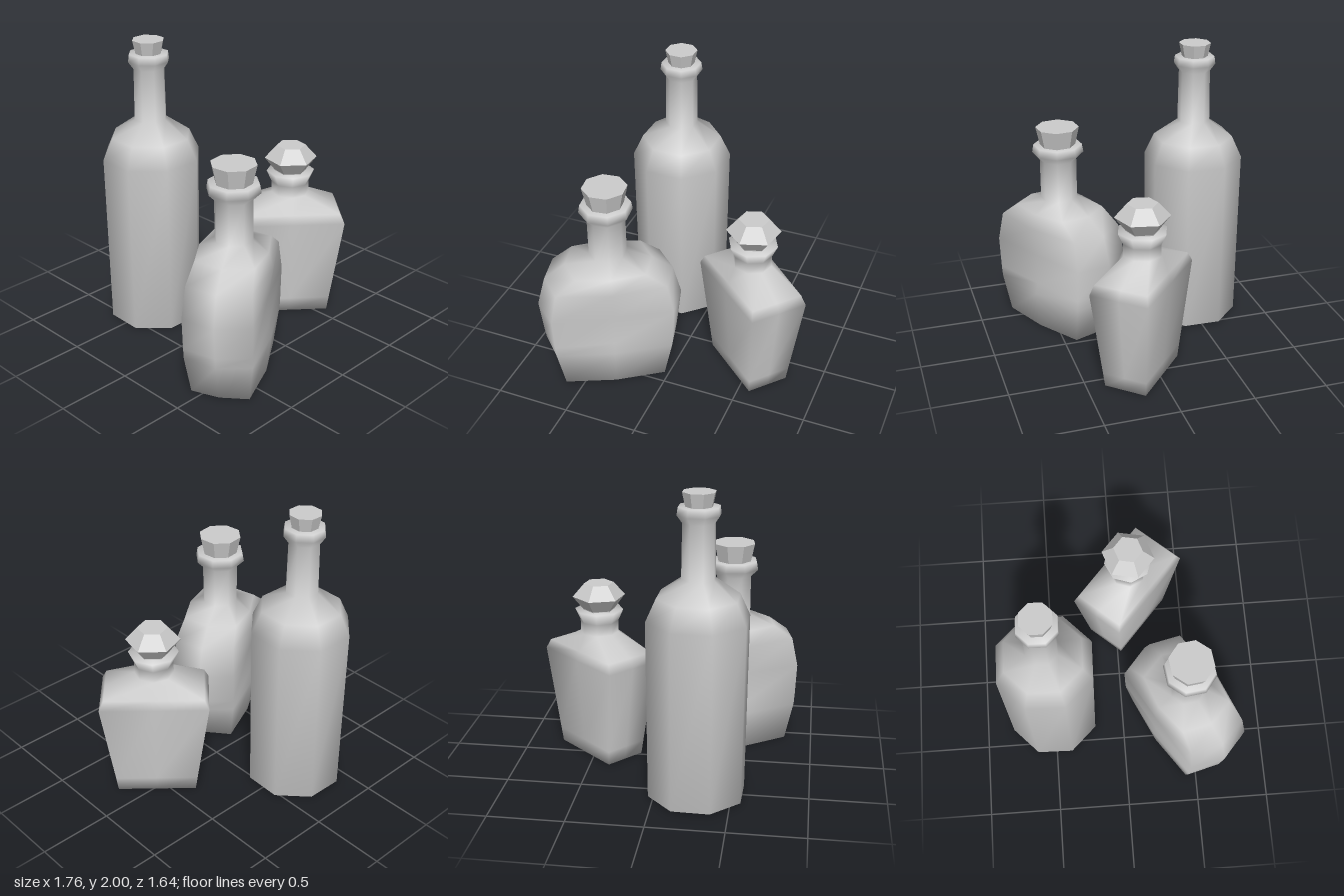
import * as THREE from 'three';

const grey = new THREE.MeshStandardMaterial({ color: 0xcccccc });
const greyFlat = new THREE.MeshStandardMaterial({ color: 0xcccccc, flatShading: true });

// Eight-sided sections as [y, end, cornerX, cornerZ, side]
const round = (y, r) => [y, r, r * Math.SQRT1_2, r * Math.SQRT1_2, r];
const rect = (y, a, b) => [y, a, a, b, b];

// Smooth closed skin through a stack of sections
function skin(sections) {
  const pos = [], index = [], n = 8;
  for (const [y, u, a, b, v] of sections) {
    const ring = [[u, 0], [a, b], [0, v], [-a, b], [-u, 0], [-a, -b], [0, -v], [a, -b]];
    for (const [x, z] of ring) pos.push(x, y, z);
  }
  const last = sections.length - 1;
  for (let i = 0; i < last; i++) {
    for (let j = 0; j < n; j++) {
      const k = (j + 1) % n;
      const a = i * n + j, b = i * n + k, c = a + n, d = b + n;
      index.push(a, c, b, b, c, d);
    }
  }
  // End caps share the ring vertices so the shading rolls over the rim
  const bottom = pos.length / 3, top = bottom + 1;
  pos.push(0, sections[0][0], 0, 0, sections[last][0], 0);
  for (let j = 0; j < n; j++) {
    const k = (j + 1) % n;
    index.push(bottom, j, k, top, last * n + k, last * n + j);
  }
  const g = new THREE.BufferGeometry();
  g.setAttribute('position', new THREE.Float32BufferAttribute(pos, 3));
  g.setIndex(index);
  g.computeVertexNormals();
  return g;
}

function add(parent, name, geometry, material) {
  const mesh = new THREE.Mesh(geometry, material);
  mesh.name = name;
  parent.add(mesh);
  return mesh;
}

// Bottle placed on the ground and turned about its own axis
function bottle(name, x, z, degrees, sections) {
  const g = new THREE.Group();
  g.name = name;
  g.position.set(x, 0, z);
  g.rotation.y = THREE.MathUtils.degToRad(degrees);
  add(g, 'glassBody', skin(sections), grey);
  return g;
}

// Tapered eight-sided cork between two heights
function cork(parent, y0, y1, r0, r1) {
  const geo = new THREE.CylinderGeometry(r1, r0, y1 - y0, 8);
  geo.rotateY(Math.PI / 2);
  add(parent, 'cork', geo, greyFlat).position.y = (y0 + y1) / 2;
}

export function createModel() {
  const model = new THREE.Group();
  model.name = 'bottles';

  // Tall round bottle
  const tall = bottle('tallBottle', -0.27, -0.505, -24, [
    round(0.01, 0.325), round(1.2, 0.337), round(1.345, 0.27), round(1.46, 0.11),
    round(1.81, 0.105), round(1.86, 0.14), round(1.91, 0.133),
  ]);
  cork(tall, 1.89, 2.0, 0.083, 0.107);

  // Wide flattened flask with a slightly sunken panel on each broad face
  const flask = bottle('wideFlask', -0.42, 0.42, 30, [
    [0, 0.37, 0.34, 0.19, 0.22],
    [0.265, 0.45, 0.39, 0.22, 0.25],
    [0.34, 0.46, 0.395, 0.222, 0.228],
    [0.56, 0.484, 0.405, 0.225, 0.228],
    [0.765, 0.43, 0.365, 0.21, 0.255],
    [0.87, 0.29, 0.23, 0.19, 0.225],
    round(0.94, 0.125), round(1.22, 0.125), round(1.27, 0.175), round(1.325, 0.165),
  ]);
  cork(flask, 1.3, 1.45, 0.115, 0.148);

  // Small rectangular decanter, tapering towards its base
  const decanter = bottle('smallDecanter', 0.473, 0.093, -41.5, [
    rect(0, 0.265, 0.145), rect(0.1, 0.278, 0.153), rect(0.7, 0.36, 0.2), rect(0.765, 0.33, 0.18),
    round(0.875, 0.13), round(0.955, 0.13), round(1.035, 0.165),
  ]);

  // Faceted six-sided stopper
  const profile = [[0, 1.02], [0.11, 1.02], [0.11, 1.04], [0.18, 1.13], [0.1, 1.22], [0, 1.22]];
  const gem = new THREE.LatheGeometry(profile.map(([r, y]) => new THREE.Vector2(r, y)), 6);
  gem.rotateY(Math.PI / 6);
  add(decanter, 'stopper', gem, greyFlat);

  model.add(tall, flask, decanter);
  return model;
}
